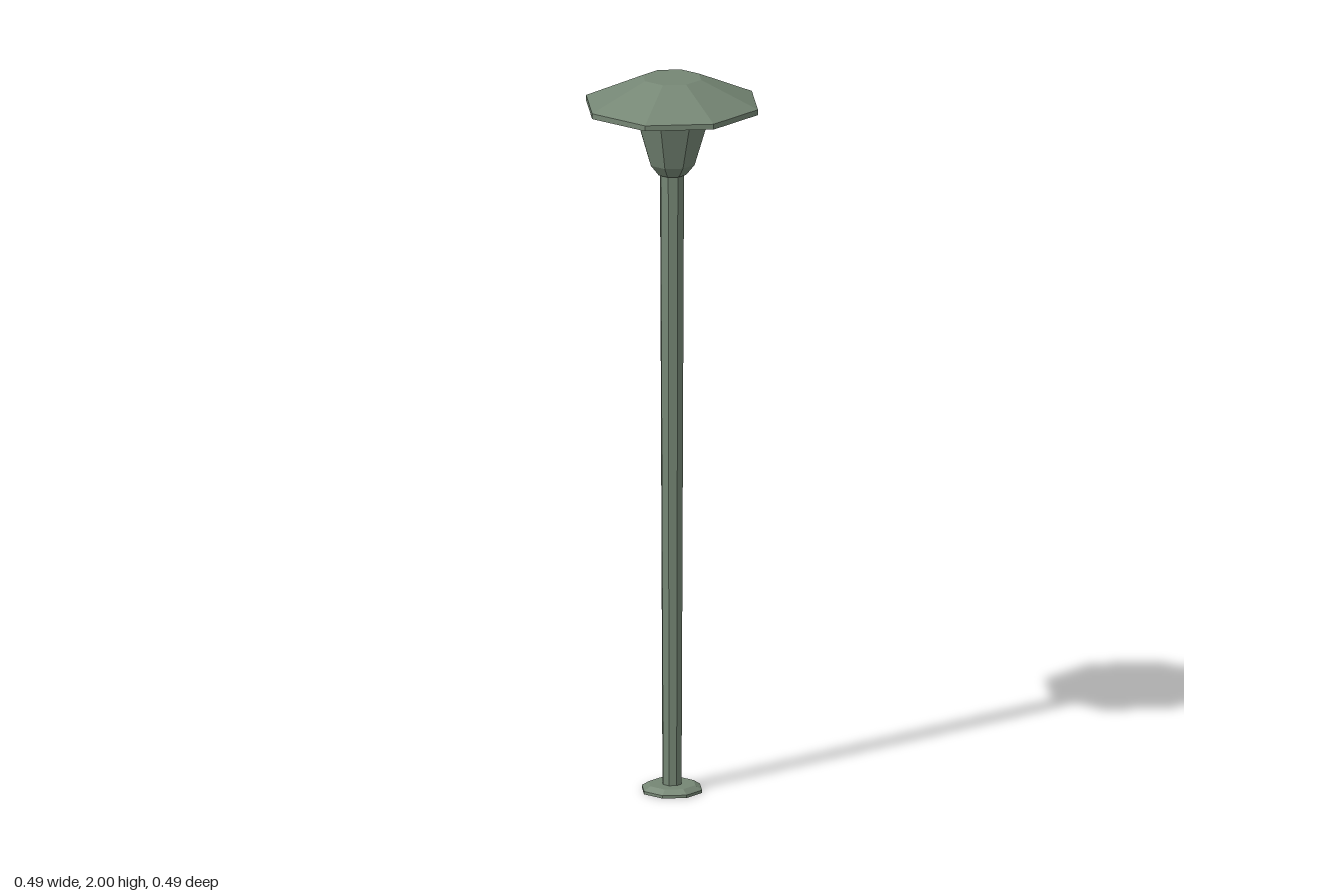
import * as THREE from 'three';

export function createModel() {
  const group = new THREE.Group();
  const paint = new THREE.MeshStandardMaterial({ color: 0x758674, flatShading: true });
  paint.name = 'grey green paint';

  // Eight-sided solid turned from a [radius, height] profile, bottom to top
  const turned = (name, profile) => {
    const points = profile.map(([r, y]) => new THREE.Vector2(r, y));
    const mesh = new THREE.Mesh(new THREE.LatheGeometry(points, 8), paint);
    mesh.name = name;
    group.add(mesh);
  };

  // Bevelled foot plate
  turned('base', [[0, 0], [0.085, 0], [0.085, 0.008], [0.066, 0.02], [0, 0.02]]);

  // Pole, slightly wider at the top
  turned('pole', [[0.027, 0.015], [0.034, 1.74]]);

  // Flared lamp housing running up into the shade
  turned('lampHousing', [[0, 1.73], [0.04, 1.73], [0.064, 1.76], [0.127, 1.967]]);

  // Hollow shade: underside, rim, sloping roof and flat top
  turned('shade', [
    [0, 1.985], [0.082, 1.985], [0.243, 1.915],
    [0.243, 1.93], [0.082, 2], [0, 2],
  ]);

  return group;
}
